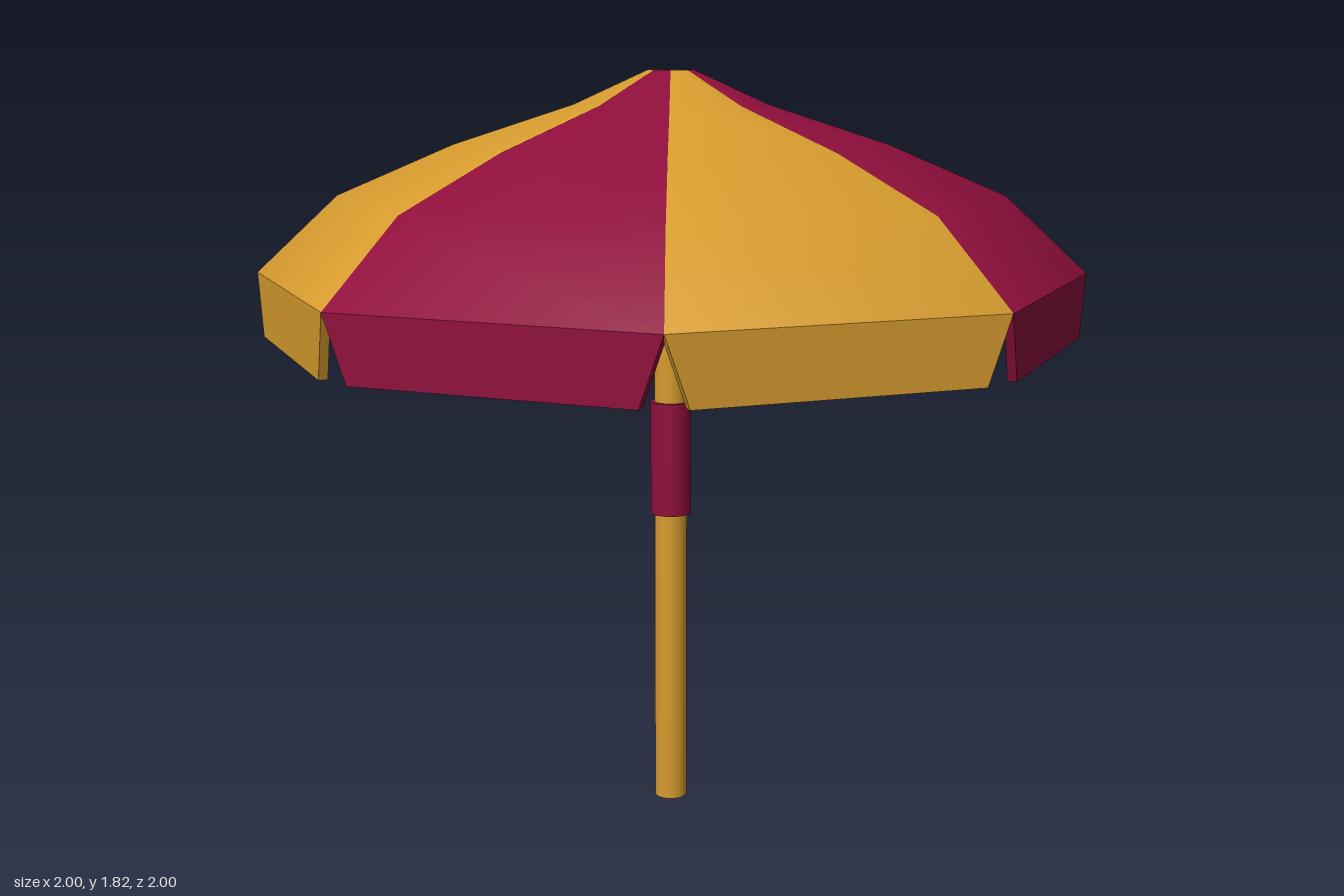
import * as THREE from 'three';

export function createModel() {
  const model = new THREE.Group();
  model.name = 'parasol';

  const maroon = new THREE.MeshStandardMaterial({ name: 'maroon', color: 0x8f0f3c });
  const gold = new THREE.MeshStandardMaterial({ name: 'gold', color: 0xd69b2e });
  const cloth = [maroon, gold].map((m) => {
    const c = m.clone();
    c.name = m.name + ' canopy cloth';
    c.side = THREE.DoubleSide;
    return c;
  });

  const add = (name, geometry, material, parent = model) => {
    const mesh = new THREE.Mesh(geometry, material);
    mesh.name = name;
    parent.add(mesh);
    return mesh;
  };

  const SIDES = 8;
  const STEP = (Math.PI * 2) / SIDES;
  const RIM_Y = 1.335;

  // Domed octagonal canopy, one colour group per panel
  const profile = [[1, RIM_Y], [0.8, 1.52], [0.52, 1.64], [0.23, 1.735], [0.055, 1.815], [0, 1.815]]
    .map(([r, y]) => new THREE.Vector2(r, y));
  const canopy = new THREE.LatheGeometry(profile, SIDES);
  const perPanel = (profile.length - 1) * 6;
  for (let i = 0; i < SIDES; i++) canopy.addGroup(i * perPanel, perPanel, i % 2);
  add('canopy', canopy, cloth);

  // Hanging flaps: tapered cloth boards along each rim edge
  const half = Math.sin(STEP / 2);
  const apothem = Math.cos(STEP / 2);
  const DROP = 0.15, TAPER = 0.054, THICK = 0.02;
  const outline = new THREE.Shape([
    new THREE.Vector2(-half, 0),
    new THREE.Vector2(-half + TAPER, -DROP),
    new THREE.Vector2(half - TAPER, -DROP),
    new THREE.Vector2(half, 0),
  ]);
  const flap = new THREE.ExtrudeGeometry(outline, { depth: THICK, bevelEnabled: false });
  flap.translate(0, RIM_Y, apothem - THICK);
  const valance = new THREE.Group();
  valance.name = 'valance';
  model.add(valance);
  for (let i = 0; i < SIDES; i++) {
    add('flap' + (i + 1), flap, i % 2 ? gold : maroon, valance).rotation.y = (i + 0.5) * STEP;
  }

  // Pole and grip sleeve
  const POLE_TOP = 1.81;
  add('pole', new THREE.CylinderGeometry(0.04, 0.04, POLE_TOP, 20), gold).position.y = POLE_TOP / 2;
  add('sleeve', new THREE.CylinderGeometry(0.05, 0.05, 0.28, 20), maroon).position.y = 0.88;

  return model;
}
